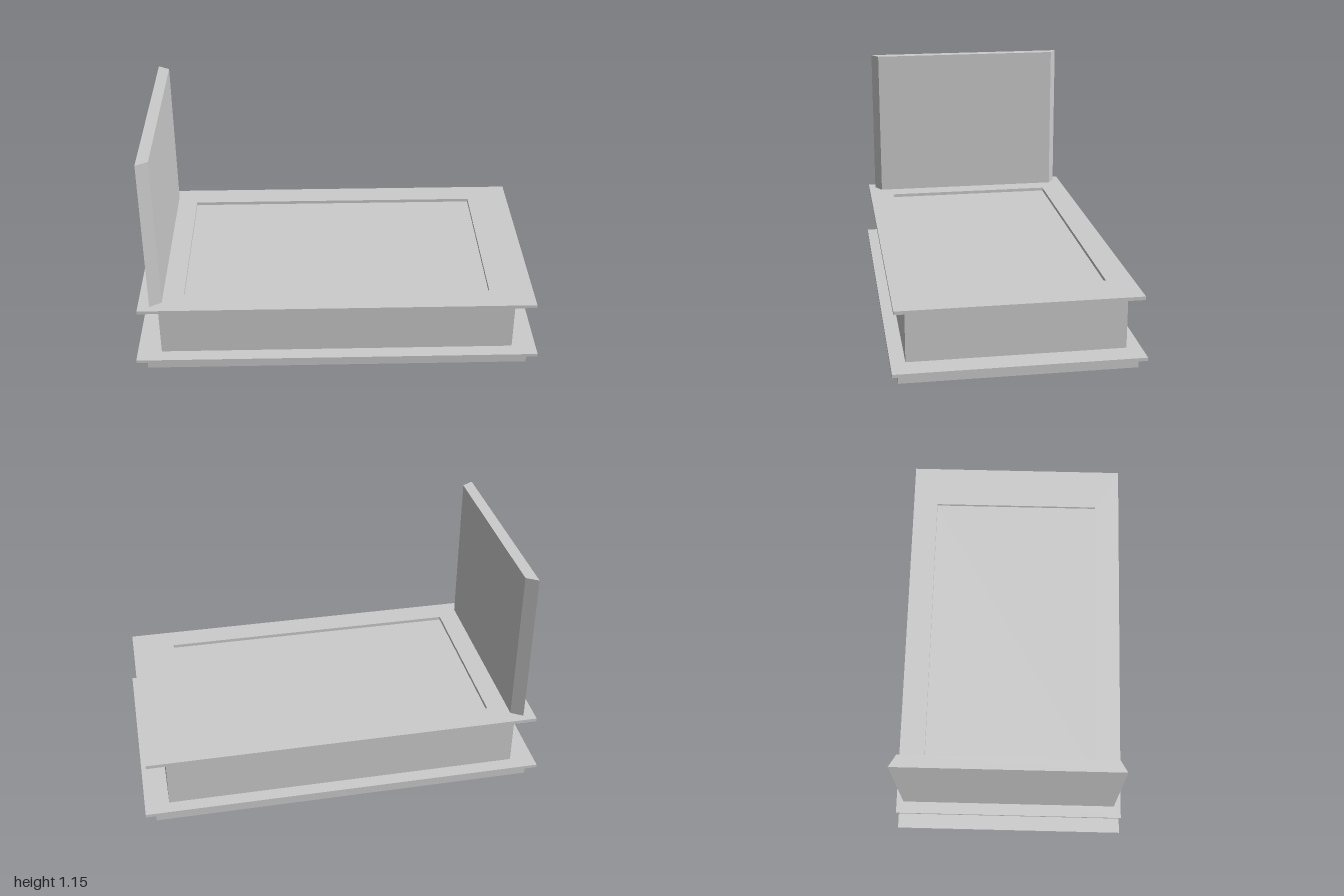
import * as THREE from 'three';

export function createModel() {
  const model = new THREE.Group();
  model.name = 'slabWithUprightPanel';
  const stone = new THREE.MeshStandardMaterial({ color: 0xcccccc });
  stone.name = 'light grey stone';

  // Box given by its half extents and its bottom and top heights
  function slab(name, hx, hz, y0, y1) {
    const mesh = new THREE.Mesh(new THREE.BoxGeometry(hx * 2, y1 - y0, hz * 2), stone);
    mesh.position.y = (y0 + y1) / 2;
    mesh.name = name;
    model.add(mesh);
  }

  // Outline of (x, z) points raised from y0 to y1
  function prism(name, outline, hole, y0, y1) {
    const points = (list) => list.map(([x, z]) => new THREE.Vector2(x, -z));
    const shape = new THREE.Shape(points(outline));
    if (hole) shape.holes.push(new THREE.Path(points(hole)));
    const geometry = new THREE.ExtrudeGeometry(shape, { depth: y1 - y0, bevelEnabled: false });
    geometry.rotateX(-Math.PI / 2);
    const mesh = new THREE.Mesh(geometry, stone);
    mesh.position.y = y0;
    mesh.name = name;
    model.add(mesh);
  }

  const rectangle = (hx, hz) => [[-hx, hz], [hx, hz], [hx, -hz], [-hx, -hz]];

  // Stacked plinth and body; the body's top is the floor of the recess
  slab('foot', 0.95, 0.555, 0, 0.054);
  slab('lowerLedge', 1, 0.585, 0.054, 0.07);
  slab('body', 0.88, 0.515, 0.07, 0.344);

  // Overhanging rim around the sunken panel
  prism('topRim', rectangle(0.975, 0.57), rectangle(0.757, 0.44), 0.344, 0.361);

  // Upright panel, wider on its outer face
  prism('uprightPanel', [[-0.917, 0.535], [-0.86, 0.5], [-0.86, -0.5], [-0.917, -0.535]], null, 0.361, 1.15);

  return model;
}
